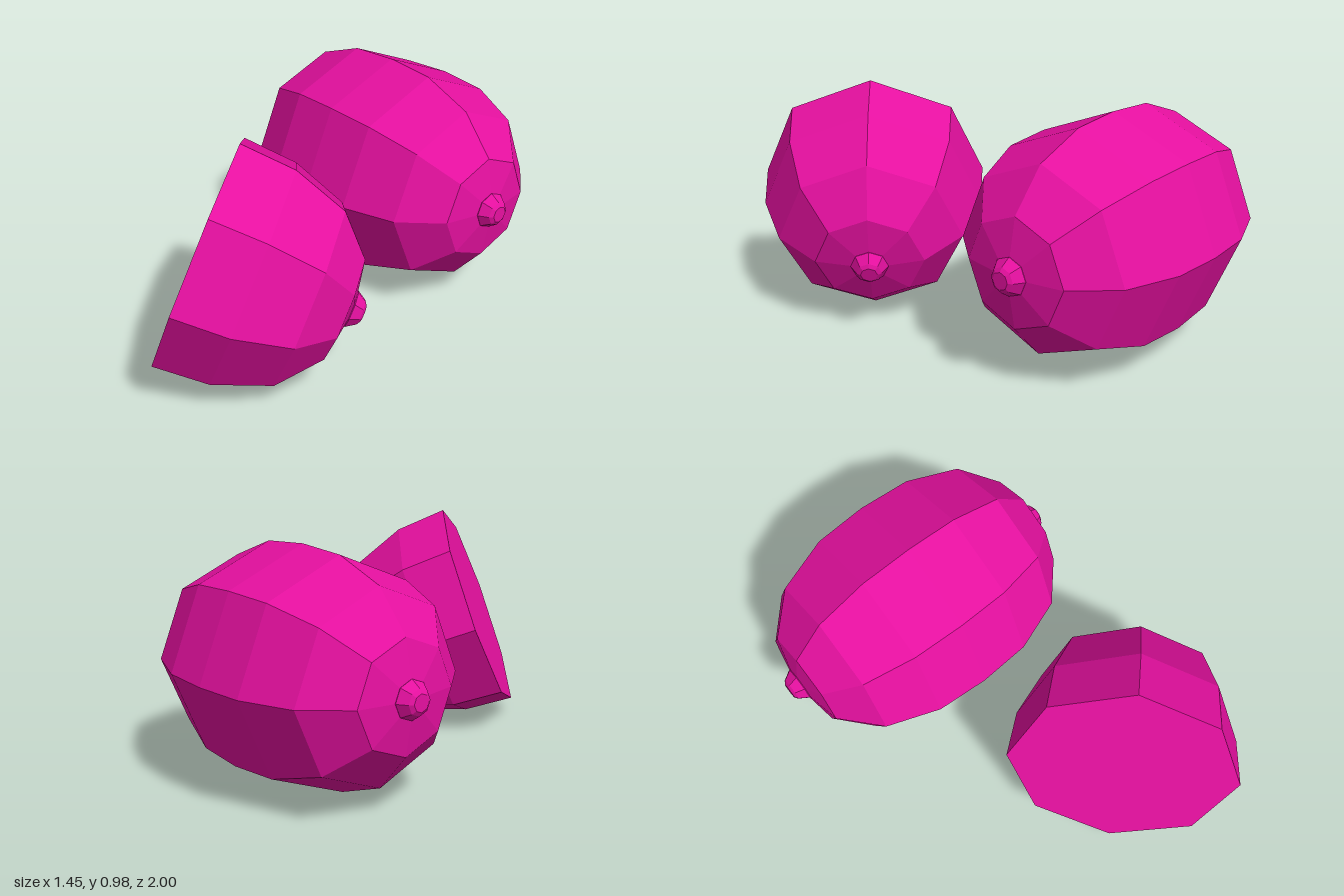
import * as THREE from 'three';

const SIDES = 8;

// Half of the body outline, from the middle to one end: [radius, distance along the axis]
const BODY = [[0.485, 0], [0.47, 0.228], [0.387, 0.455], [0.225, 0.6], [0.07, 0.63], [0, 0.63]];
// Small stub that closes each end
const STUB = [[0.07, 0.61], [0.078, 0.632], [0.052, 0.672], [0.035, 0.683], [0, 0.683]];

function lathe(name, outline, material) {
  const points = outline.map(([r, h]) => new THREE.Vector2(r, h));
  const mesh = new THREE.Mesh(new THREE.LatheGeometry(points, SIDES), material);
  mesh.name = name;
  return mesh;
}

export function createModel() {
  const model = new THREE.Group();
  model.name = 'wholeAndHalvedFruit';
  const skin = new THREE.MeshStandardMaterial({ color: 0xe610a0, flatShading: true });

  // Whole fruit lying along x, with a stub at both ends
  const whole = new THREE.Group();
  whole.name = 'wholeFruit';
  const mirrored = BODY.slice(1).reverse().map(([r, h]) => [r, -h]);
  whole.add(lathe('wholeBody', [...mirrored, ...BODY], skin));
  const stubA = lathe('leftStub', STUB, skin);
  const stubB = lathe('rightStub', STUB, skin);
  stubB.rotation.x = Math.PI;
  whole.add(stubA, stubB);
  whole.rotation.z = -Math.PI / 2;
  whole.position.set(-0.04, 0.49, -0.517);
  model.add(whole);

  // Half fruit in front, tilted so its flat cut faces forward and to the right
  const half = new THREE.Group();
  half.name = 'halfFruit';
  half.add(lathe('halfBody', [[0, 0], ...BODY], skin), lathe('halfStub', STUB, skin));
  const axis = new THREE.Vector3(0.683, -0.351, -0.642).normalize();
  const side = new THREE.Vector3().crossVectors(axis, new THREE.Vector3(0.12, 0.453, -0.12)).normalize();
  const up = new THREE.Vector3().crossVectors(side, axis);
  half.quaternion.setFromRotationMatrix(new THREE.Matrix4().makeBasis(side, axis, up));
  half.position.set(0.15, 0.532, 0.645);
  model.add(half);

  return model;
}
